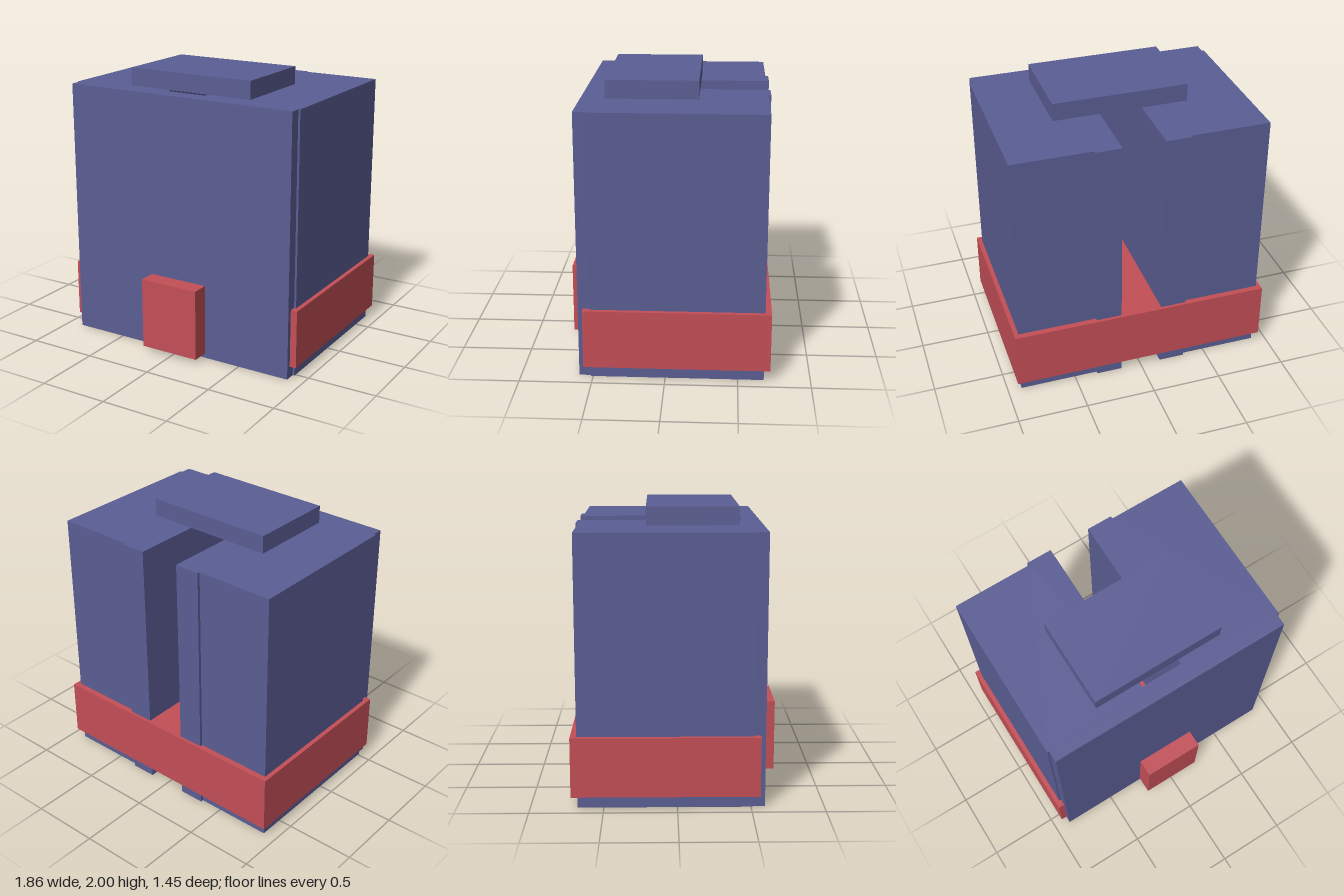
import * as THREE from 'three';

export function createModel() {
  const group = new THREE.Group();
  group.name = 'backpackBlock';

  const blue = new THREE.MeshStandardMaterial({ color: 0x5b5e94 });
  blue.name = 'slateBlue';
  const red = new THREE.MeshStandardMaterial({ color: 0xc44f57 });
  red.name = 'warmRed';

  const add = (name, geometry, material) => {
    const mesh = new THREE.Mesh(geometry, material);
    mesh.name = name;
    group.add(mesh);
  };

  // Box given by its lower and upper limits on each axis
  const box = (name, [x0, x1], [y0, y1], [z0, z1], material) => {
    const geometry = new THREE.BoxGeometry(x1 - x0, y1 - y0, z1 - z0);
    geometry.translate((x0 + x1) / 2, (y0 + y1) / 2, (z0 + z1) / 2);
    add(name, geometry, material);
  };

  // Main body: half footprint [x, z], mirrored, with a deep slot open to the back
  const half = [
    [0.15, 0.465], [0.15, -0.70], [0.335, -0.70], [0.335, -0.68],
    [0.9, -0.68], [0.9, 0.515], [0.885, 0.515], [0.885, 0.597],
  ];
  const outline = [...half, ...half.map(([x, z]) => [-x, z]).reverse()];
  const footprint = new THREE.Shape(outline.map(([x, z]) => new THREE.Vector2(x, -z)));
  const body = new THREE.ExtrudeGeometry(footprint, { depth: 1.872, bevelEnabled: false });
  body.rotateX(-Math.PI / 2);
  add('body', body, blue);

  // Raised cap bridging the slot
  box('cap', [-0.483, 0.483], [1.872, 2], [-0.21, 0.43], blue);

  // Band wrapping the sides and back, also filling the slot at its height
  box('band', [-0.932, 0.932], [0.083, 0.5], [-0.723, 0.563], red);

  // Block on the front
  box('frontBlock', [-0.224, 0.224], [0.035, 0.55], [0.59, 0.723], red);

  return group;
}
